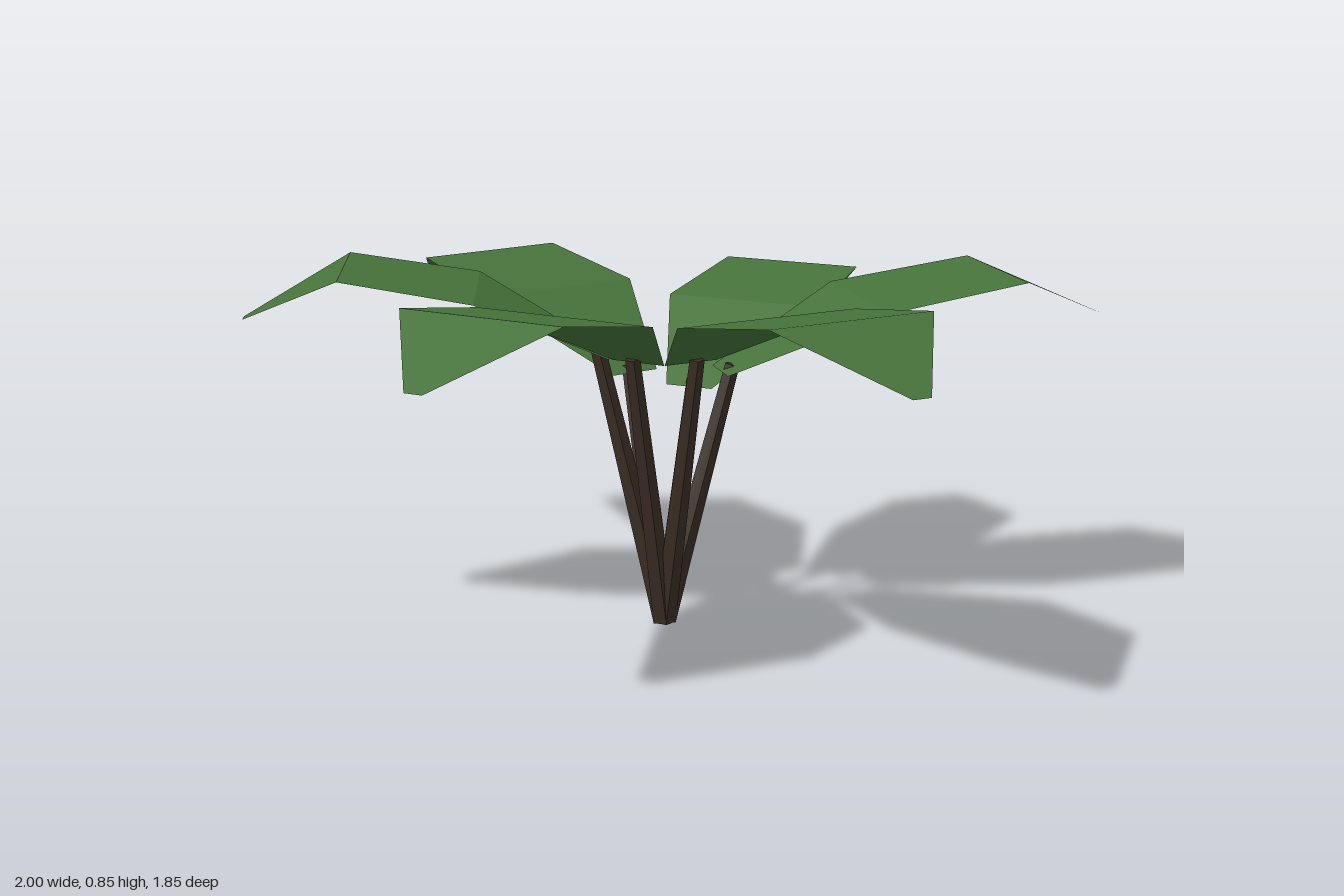
import * as THREE from 'three';

const leafGreen = new THREE.MeshStandardMaterial({ color: 0x47733b, side: THREE.DoubleSide });
leafGreen.name = 'leaf green';
const stemBrown = new THREE.MeshStandardMaterial({ color: 0x3b2e24, flatShading: true });
stemBrown.name = 'stem brown';

// Shared leaf outline: [fraction along the leaf, width, rise above the leaf base]
const STATIONS = [[0, 0.13, 0], [0.36, 0.43, 0.155], [0.722, 0.39, 0.205], [1, 0.043, 0.09]];

// One entry per leaf: base and tip as [x, z], base height, width scale
const LEAVES = [
  { name: 'left', base: [0.07, -0.045], tip: [0.998, -0.12], y: 0.595, width: 1.0 },
  { name: 'right', base: [-0.185, -0.065], tip: [-0.998, -0.185], y: 0.64, width: 1.02 },
  { name: 'frontRight', base: [-0.135, 0.045], tip: [-0.695, 0.685], y: 0.64, width: 1.04 },
  { name: 'frontLeft', base: [-0.02, 0.067], tip: [0.28, 0.915], y: 0.64, width: 1.03 },
  { name: 'backLeft', base: [0.015, -0.14], tip: [0.498, -0.78], y: 0.54, width: 0.9 },
  { name: 'backRight', base: [-0.108, -0.157], tip: [-0.48, -0.918], y: 0.575, width: 0.95 },
];

// Folded leaf blade: flat quads between successive cross-sections
function leafGeometry(base, along, y, width) {
  const side = new THREE.Vector3(along.z, 0, -along.x).normalize();
  const rows = STATIONS.map(([t, w, rise]) => {
    const mid = base.clone().addScaledVector(along, t).setY(y + rise);
    const half = (w * width) / 2;
    return [mid.clone().addScaledVector(side, half), mid.clone().addScaledVector(side, -half)];
  });
  const points = [];
  for (let i = 0; i < rows.length - 1; i++) {
    const [a0, b0] = rows[i];
    const [a1, b1] = rows[i + 1];
    points.push(b0, b1, a1, b0, a1, a0);
  }
  const geometry = new THREE.BufferGeometry().setFromPoints(points);
  geometry.computeVertexNormals();
  return geometry;
}

// Tapered stem between two points
function makeStem(from, to) {
  const dir = to.clone().sub(from);
  const stem = new THREE.Mesh(new THREE.CylinderGeometry(0.018, 0.028, dir.length(), 5), stemBrown);
  stem.position.copy(from).add(to).multiplyScalar(0.5);
  stem.quaternion.setFromUnitVectors(new THREE.Vector3(0, 1, 0), dir.normalize());
  return stem;
}

export function createModel() {
  const plant = new THREE.Group();
  plant.name = 'plant';
  const root = new THREE.Vector3(-0.06, 0.006, -0.055);

  for (const { name, base, tip, y, width } of LEAVES) {
    const start = new THREE.Vector3(base[0], 0, base[1]);
    const along = new THREE.Vector3(tip[0], 0, tip[1]).sub(start);

    const leaf = new THREE.Mesh(leafGeometry(start, along, y, width), leafGreen);
    leaf.name = `${name}Leaf`;

    // Stem end just meets the underside of its leaf
    const top = start.clone().addScaledVector(along, 0.03).setY(y + 0.014);
    const stem = makeStem(root, top);
    stem.name = `${name}Stem`;

    plant.add(leaf, stem);
  }
  return plant;
}
